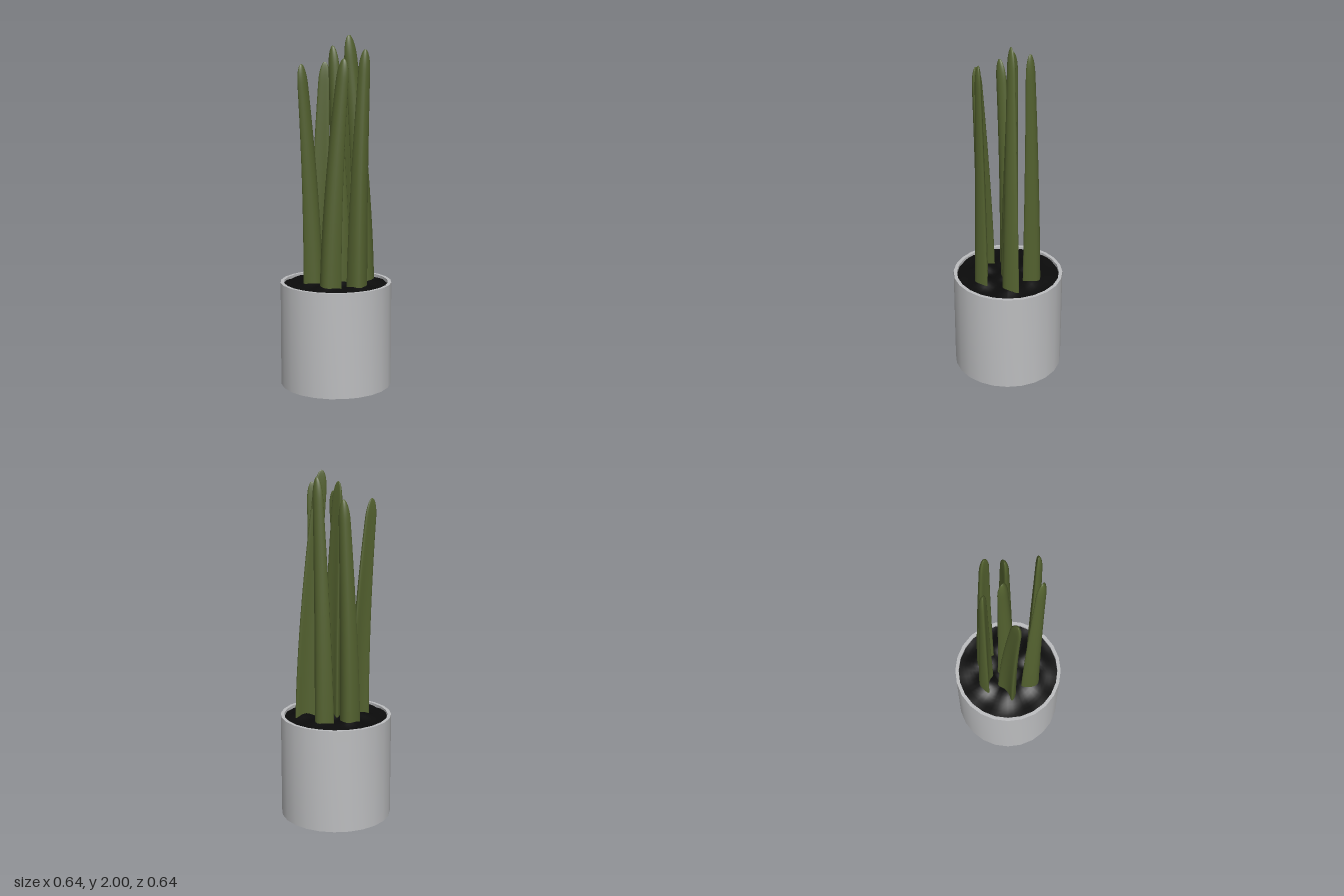
import * as THREE from 'three';
import { toCreasedNormals } from 'three/addons/utils/BufferGeometryUtils.js';

// base x, base z, tip x, tip y, tip z, half width, direction of the convex side (degrees)
const LEAVES = [
  [-0.08, -0.125, -0.045, 1.85, -0.125, 0.06, -78],
  [0.068, -0.142, 0.10, 1.97, -0.118, 0.062, -53],
  [-0.125, 0.0, -0.2, 1.84, 0.048, 0.068, 50],
  [0.022, -0.005, -0.015, 1.94, -0.028, 0.062, 131],
  [0.172, -0.02, 0.077, 2.0, -0.018, 0.07, 70],
  [-0.058, 0.138, 0.018, 1.87, 0.172, 0.068, 127],
  [0.102, 0.14, 0.14, 1.92, 0.152, 0.06, 90],
];
const BASE_Y = 0.52;

// Bean-shaped section swept up a leaning path, rounding off at the tip
function leafGeometry([bx, bz, tx, ty, tz, half, deg]) {
  const rows = 28, sides = 24, pos = [], index = [];
  const a = THREE.MathUtils.degToRad(deg), dx = Math.cos(a), dz = Math.sin(a);
  for (let i = 0; i <= rows; i++) {
    const t = Math.sin((i / rows) * Math.PI / 2);
    const lean = Math.pow(t, 1.7);
    const cap = Math.max(0, (t - 0.92) / 0.08);
    const s = (1 - 0.5 * Math.pow(t, 1.3)) * Math.sqrt(Math.max(0, 1 - cap * cap));
    const bend = 0.02 * (1 - 0.6 * t);
    for (let j = 0; j < sides; j++) {
      const th = (j / sides) * Math.PI * 2, c = Math.cos(th);
      const u = half * c * s;
      const v = (0.031 * Math.sin(th) + bend * (1 - 2 * c * c)) * s;
      pos.push(
        bx + (tx - bx) * lean - dz * u + dx * v,
        BASE_Y + (ty - BASE_Y) * t,
        bz + (tz - bz) * lean + dx * u + dz * v);
      if (i < rows) {
        const k = (j + 1) % sides, p = i * sides, q = p + sides;
        index.push(p + j, p + k, q + j);
        if (i < rows - 1) index.push(q + j, p + k, q + k);
      }
    }
  }
  const g = new THREE.BufferGeometry();
  g.setAttribute('position', new THREE.Float32BufferAttribute(pos, 3));
  g.setIndex(index);
  g.computeVertexNormals();
  return g;
}

// Disc of earth, heaped gently around each leaf
function soilGeometry() {
  const g = new THREE.RingGeometry(0.001, 0.301, 48, 14);
  g.rotateX(-Math.PI / 2);
  const p = g.attributes.position;
  for (let i = 0; i < p.count; i++) {
    const x = p.getX(i), z = p.getZ(i);
    let h = 0;
    for (const [bx, bz] of LEAVES) {
      h = Math.max(h, Math.exp(-((x - bx) ** 2 + (z - bz) ** 2) / 0.005));
    }
    const lumps = 0.006 * Math.sin(x * 31 + 1) * Math.cos(z * 27);
    p.setY(i, 0.582 + 0.03 * h + lumps);
  }
  g.computeVertexNormals();
  return g;
}

export function createModel() {
  const ceramic = new THREE.MeshStandardMaterial({ color: 0xbcbdbf });
  ceramic.name = 'pale grey ceramic';
  const earth = new THREE.MeshStandardMaterial({ color: 0x0b0b0b });
  earth.name = 'black earth';
  const green = new THREE.MeshStandardMaterial({ color: 0x53612f });
  green.name = 'leaf green';

  const model = new THREE.Group();
  model.name = 'pottedPlant';
  const add = (name, geometry, material, parent = model) => {
    const mesh = new THREE.Mesh(geometry, material);
    mesh.name = name;
    parent.add(mesh);
  };

  // Straight-sided pot with a thin rim
  const profile = [[0, 0], [0.32, 0], [0.32, 0.6], [0.3, 0.6], [0.3, 0.5]]
    .map(([x, y]) => new THREE.Vector2(x, y));
  add('pot', toCreasedNormals(new THREE.LatheGeometry(profile, 24), 0.6), ceramic);

  add('soil', soilGeometry(), earth);

  // Seven upright fleshy leaves
  const leaves = new THREE.Group();
  leaves.name = 'leaves';
  LEAVES.forEach((leaf, i) => add(`leaf${i + 1}`, leafGeometry(leaf), green, leaves));
  model.add(leaves);
  return model;
}
